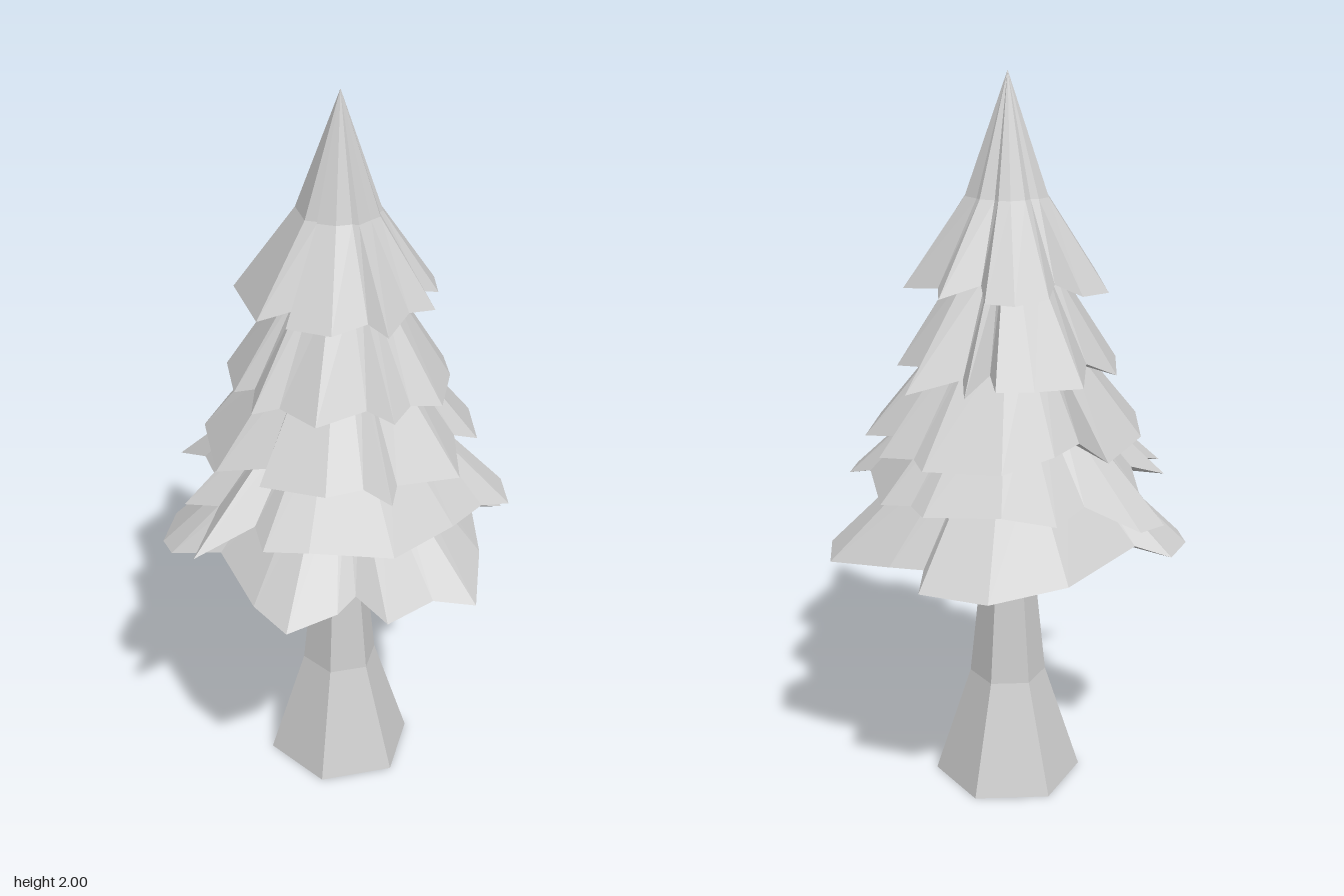
import * as THREE from 'three';

const material = new THREE.MeshStandardMaterial({ color: 0xcccccc, flatShading: true });
const trunkMaterial = new THREE.MeshStandardMaterial({ color: 0xcccccc, flatShading: true, side: THREE.DoubleSide });

// Pleated skirt: ragged rim [x, z, x, z, ...] running back, right, front, left,
// then a shoulder ring, an apex and a shallow hollow underside
function makeTier(name, y, midY, midR, top, outline) {
  const rim = [];
  for (let i = 0; i < outline.length; i += 2) {
    const [x, z] = [outline[i], outline[i + 1]];
    rim.push([x, z, Math.hypot(x, z)]);
  }
  const R = rim.reduce((sum, [, , r]) => sum + r, 0) / rim.length;
  // notches sit a little higher than the lobes; pleats soften towards the shoulder
  const lower = rim.map(([x, z, r]) => [x, y + 0.4 * (R - r), z]);
  const upper = rim.map(([x, z, r]) => {
    const k = midR * (0.55 / r + 0.45 / R);
    return [x * k, midY, z * k];
  });
  const apex = [0, top, 0.01], hollow = [0, y + 0.05, 0];
  const pos = [];
  lower.forEach((a, i) => {
    const j = (i + 1) % lower.length;
    const b = lower[j], c = upper[i], d = upper[j];
    pos.push(...a, ...c, ...b, ...b, ...c, ...d, ...c, ...apex, ...d, ...a, ...b, ...hollow);
  });
  const geometry = new THREE.BufferGeometry();
  geometry.setAttribute('position', new THREE.Float32BufferAttribute(pos, 3));
  geometry.computeVertexNormals();
  const mesh = new THREE.Mesh(geometry, material);
  mesh.name = name;
  return mesh;
}

export function createModel() {
  const tree = new THREE.Group();
  tree.name = 'pineTree';

  // Six-sided open trunk with a flared foot, slightly deeper than wide
  const profile = [[0.207, 0], [0.107, 0.31], [0.06, 0.77], [0.05, 0.95]]
    .map(([r, y]) => new THREE.Vector2(r, y));
  const trunkGeometry = new THREE.LatheGeometry(profile, 6, Math.PI / 2).scale(1, 1, 1.07);
  const trunk = new THREE.Mesh(trunkGeometry, trunkMaterial);
  trunk.name = 'trunk';

  // Stacked tiers of foliage, from the widest up to the crown
  tree.add(
    trunk,
    makeTier('foliageTier1', 0.735, 0.99, 0.2, 1.35, [
      0.08, -0.49, 0.255, -0.415, 0.24, -0.33, 0.33, -0.28, 0.49, -0.15, 0.49, -0.015,
      0.38, 0.03, 0.33, 0.25, 0.255, 0.445, 0.14, 0.43, 0, 0.485, -0.06, 0.39, -0.12, 0.43,
      -0.26, 0.445, -0.32, 0.33, -0.36, 0.1, -0.48, 0, -0.49, -0.08, -0.43, -0.21,
      -0.33, -0.21, -0.13, -0.43]),
    makeTier('foliageTier2', 0.895, 1.14, 0.18, 1.5, [
      0.04, -0.38, 0.24, -0.33, 0.27, -0.27, 0.35, -0.22, 0.38, 0.03, 0.44, 0.1, 0.42, 0.22,
      0.33, 0.25, 0.22, 0.34, 0.03, 0.435, -0.18, 0.37, -0.29, 0.32, -0.29, 0.23, -0.46, 0.25,
      -0.36, 0.1, -0.44, 0.02, -0.34, -0.03, -0.34, -0.2, -0.39, -0.32, -0.32, -0.38,
      -0.18, -0.32, -0.1, -0.41]),
    makeTier('foliageTier3', 1.045, 1.31, 0.16, 1.65, [
      0.04, -0.4, 0.24, -0.34, 0.26, -0.28, 0.35, -0.22, 0.3, -0.14, 0.39, -0.05, 0.35, 0.14,
      0.28, 0.15, 0.24, 0.32, 0.06, 0.35, 0.03, 0.41, -0.03, 0.35, -0.13, 0.35, -0.28, 0.25,
      -0.25, 0.2, -0.37, 0.13, -0.35, -0.13, -0.24, -0.32, -0.17, -0.26, -0.1, -0.33]),
    makeTier('foliageTier4', 1.225, 1.49, 0.13, 1.78, [
      -0.05, -0.3, 0.05, -0.3, 0.06, -0.23, 0.13, -0.31, 0.13, -0.23, 0.28, -0.23, 0.22, -0.12,
      0.3, -0.02, 0.28, 0.1, 0.21, 0.25, 0.12, 0.26, 0.06, 0.32, 0, 0.27, -0.14, 0.29,
      -0.21, 0.19, -0.28, 0.17, -0.25, 0.08, -0.3, 0.05, -0.28, -0.14, -0.2, -0.13, -0.18, -0.26]),
    makeTier('foliageCrown', 1.455, 1.68, 0.112, 2, [
      0, -0.29, 0.075, -0.27, 0.08, -0.19, 0.19, -0.21, 0.19, -0.15, 0.28, -0.06, 0.25, 0.07,
      0.2, 0.09, 0.21, 0.17, 0.13, 0.2, 0.05, 0.29, 0.01, 0.24, -0.09, 0.26, -0.19, 0.19,
      -0.15, 0.14, -0.25, 0.12, -0.255, -0.14, -0.18, -0.21, -0.11, -0.18, -0.09, -0.25]),
  );
  return tree;
}
